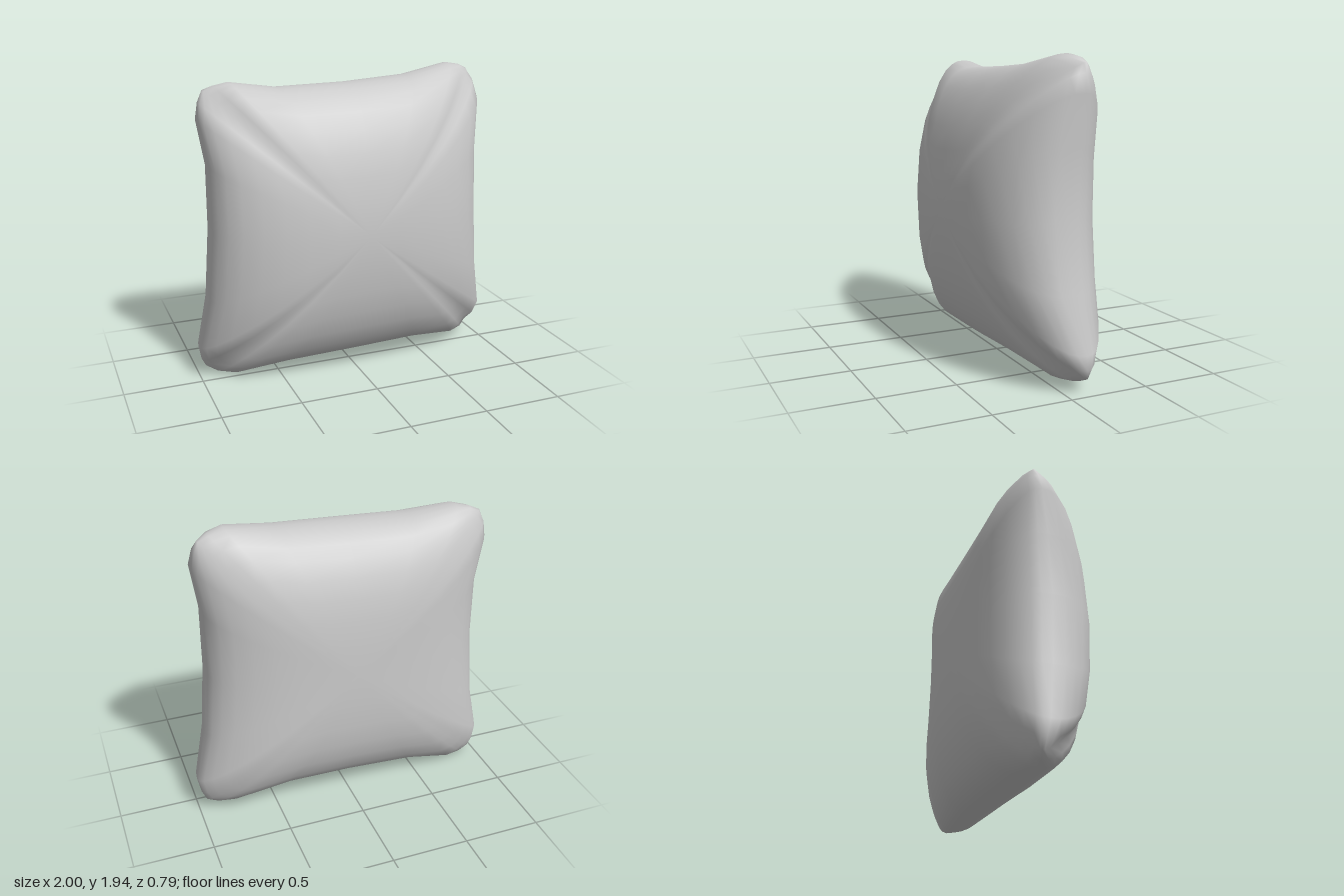
import * as THREE from 'three';
import { mergeVertices } from 'three/addons/utils/BufferGeometryUtils.js';

// Seam outline, clockwise from the top corner at -x, eight points per side
const OUTLINE = [
  [-0.895, 1.85], [-0.835, 1.875], [-0.74, 1.895], [-0.45, 1.855],
  [0, 1.865], [0.41, 1.89], [0.72, 1.948], [0.82, 1.93],
  [0.885, 1.9], [0.91, 1.84], [0.932, 1.73], [0.88, 1.42],
  [0.88, 1.0], [0.92, 0.58], [1.0, 0.25], [0.98, 0.15],
  [0.95, 0.09], [0.885, 0.06], [0.79, 0.048], [0.45, 0.095],
  [0, 0.09], [-0.47, 0.065], [-0.79, 0.005], [-0.89, 0.02],
  [-0.95, 0.05], [-0.98, 0.11], [-1.0, 0.21], [-0.94, 0.55],
  [-0.91, 1.0], [-0.905, 1.4], [-0.948, 1.68], [-0.93, 1.78],
];
const STEPS = [-1, -0.92, -0.82, -0.46, 0, 0.46, 0.82, 0.92];
const RINGS = [0, 0.22, 0.42, 0.58, 0.72, 0.84, 0.92, 0.97, 0.993, 1];
const CENTRE_Y = 0.98;

// Stuffing on each side: depth at the middle and squareness across and up
const FRONT = { depth: 0.392, across: 2.6, up: 2.05 };
const BACK = { depth: -0.4, across: 2.6, up: 3.2 };

// Position of outline point i on the unit square
function squarePoint(i) {
  const side = Math.floor(i / 8), t = STEPS[i % 8];
  return [[t, 1], [1, -t], [-t, -1], [-1, t]][side];
}

// Fullness: 1 at the middle, 0 on the seam
function fullness(u, v, { across, up }) {
  const a = 1 - Math.abs(u) ** across, b = 1 - Math.abs(v) ** up;
  return Math.max(0, a * b) ** 0.42;
}

function cushionGeometry() {
  const positions = [], indices = [], n = OUTLINE.length;
  // Rings run from the front centre out to the seam and back in to the rear centre
  const layers = [
    ...RINGS.map((s) => [s, FRONT]),
    ...RINGS.slice(0, -1).reverse().map((s) => [s, BACK]),
  ];
  for (const [s, face] of layers) {
    OUTLINE.forEach(([x, y], i) => {
      const [u, v] = squarePoint(i);
      // The seam bows forward between the corners
      const seam = -0.03 - 0.1 * STEPS[i % 8] ** 2;
      positions.push(
        x * s,
        THREE.MathUtils.lerp(CENTRE_Y, y, s),
        THREE.MathUtils.lerp(seam, face.depth, fullness(u * s, v * s, face)),
      );
    });
  }
  const last = layers.length - 2;
  for (let r = 0; r <= last; r++) {
    for (let i = 0; i < n; i++) {
      const a = r * n + i, b = r * n + ((i + 1) % n);
      indices.push(a, b + n, a + n);
      // The centre fans need only one triangle per segment
      if (r > 0 && r < last) indices.push(a, b, b + n);
      if (r === last) indices.splice(-3, 3, a, b, a + n);
    }
  }
  const geometry = new THREE.BufferGeometry();
  geometry.setAttribute('position', new THREE.Float32BufferAttribute(positions, 3));
  geometry.setIndex(indices);
  const welded = mergeVertices(geometry, 1e-4);
  welded.computeVertexNormals();
  return welded;
}

export function createModel() {
  const group = new THREE.Group();
  group.name = 'pillow';
  const cushion = new THREE.Mesh(
    cushionGeometry(),
    new THREE.MeshStandardMaterial({ color: 0xcccccc }),
  );
  cushion.name = 'cushion';
  group.add(cushion);
  return group;
}
